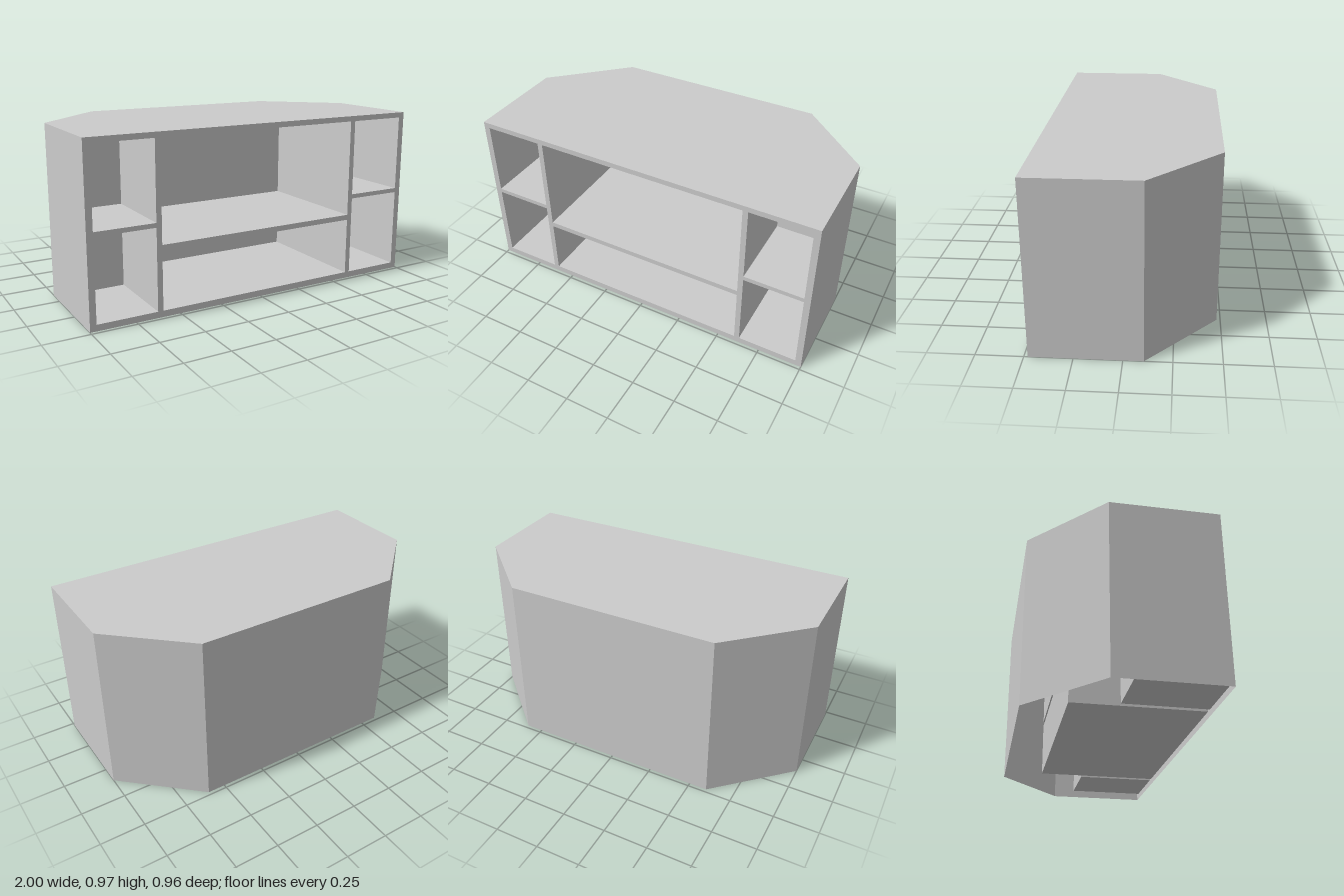
import * as THREE from 'three';

const material = new THREE.MeshStandardMaterial({ color: 0xcccccc, side: THREE.DoubleSide });
const front = 0.48, height = 0.97;

// Floor plan as [x, z], starting and ending at the front corners
const plan = [[1, front], [1, -0.105], [0.6, -0.48], [-0.6, -0.48], [-1, -0.105], [-1, front]];

// Compartments: name, x range, y range, z of the back panel
const compartments = [
  ['middleLower', -0.6, 0.6, 0.035, 0.36, -0.24],
  ['middleUpper', -0.6, 0.6, 0.39, 0.94, -0.24],
];
for (const [side, x0, x1] of [['left', 0.63, 0.965], ['right', -0.965, -0.63]]) {
  compartments.push([side + 'Lower', x0, x1, 0.035, 0.485, 0.02]);
  compartments.push([side + 'Upper', x0, x1, 0.51, 0.94, 0.02]);
}

const rectangle = (x0, x1, y0, y1) => [[x0, y0], [x1, y0], [x1, y1], [x0, y1]]
  .map(([x, y]) => new THREE.Vector2(x, y));

// Box lining that is open towards the front
function lining(x0, x1, y0, y1, back) {
  const geometry = new THREE.BoxGeometry(x1 - x0, y1 - y0, front - back);
  const index = Array.from(geometry.index.array);
  index.splice(24, 6);
  geometry.setIndex(index);
  geometry.clearGroups();
  return geometry.translate((x0 + x1) / 2, (y0 + y1) / 2, (front + back) / 2);
}

export function createModel() {
  const group = new THREE.Group();
  group.name = 'mediaCabinet';
  const add = (name, geometry) => {
    const mesh = new THREE.Mesh(geometry, material);
    mesh.name = name;
    group.add(mesh);
    return mesh;
  };

  // Top panel with chamfered back corners
  const topShape = new THREE.Shape(plan.map(([x, z]) => new THREE.Vector2(x, -z)));
  add('topPanel', new THREE.ShapeGeometry(topShape).rotateX(-Math.PI / 2).translate(0, height, 0));

  // Thin side, corner and back panels; the base is open
  const names = ['leftSide', 'leftCorner', 'back', 'rightCorner', 'rightSide'];
  names.forEach((name, i) => {
    const [ax, az] = plan[i], [bx, bz] = plan[i + 1];
    const panel = add(name + 'Panel', new THREE.PlaneGeometry(Math.hypot(bx - ax, bz - az), height));
    panel.position.set((ax + bx) / 2, height / 2, (az + bz) / 2);
    panel.rotation.y = Math.atan2(az - bz, bx - ax);
  });

  // Front frame with one opening per compartment
  const frame = new THREE.Shape(rectangle(-1, 1, 0, height));
  for (const [name, x0, x1, y0, y1, back] of compartments) {
    frame.holes.push(new THREE.Path(rectangle(x0, x1, y0, y1)));
    add(name + 'Compartment', lining(x0, x1, y0, y1, back));
  }
  add('frontFrame', new THREE.ShapeGeometry(frame).translate(0, 0, front));
  return group;
}
